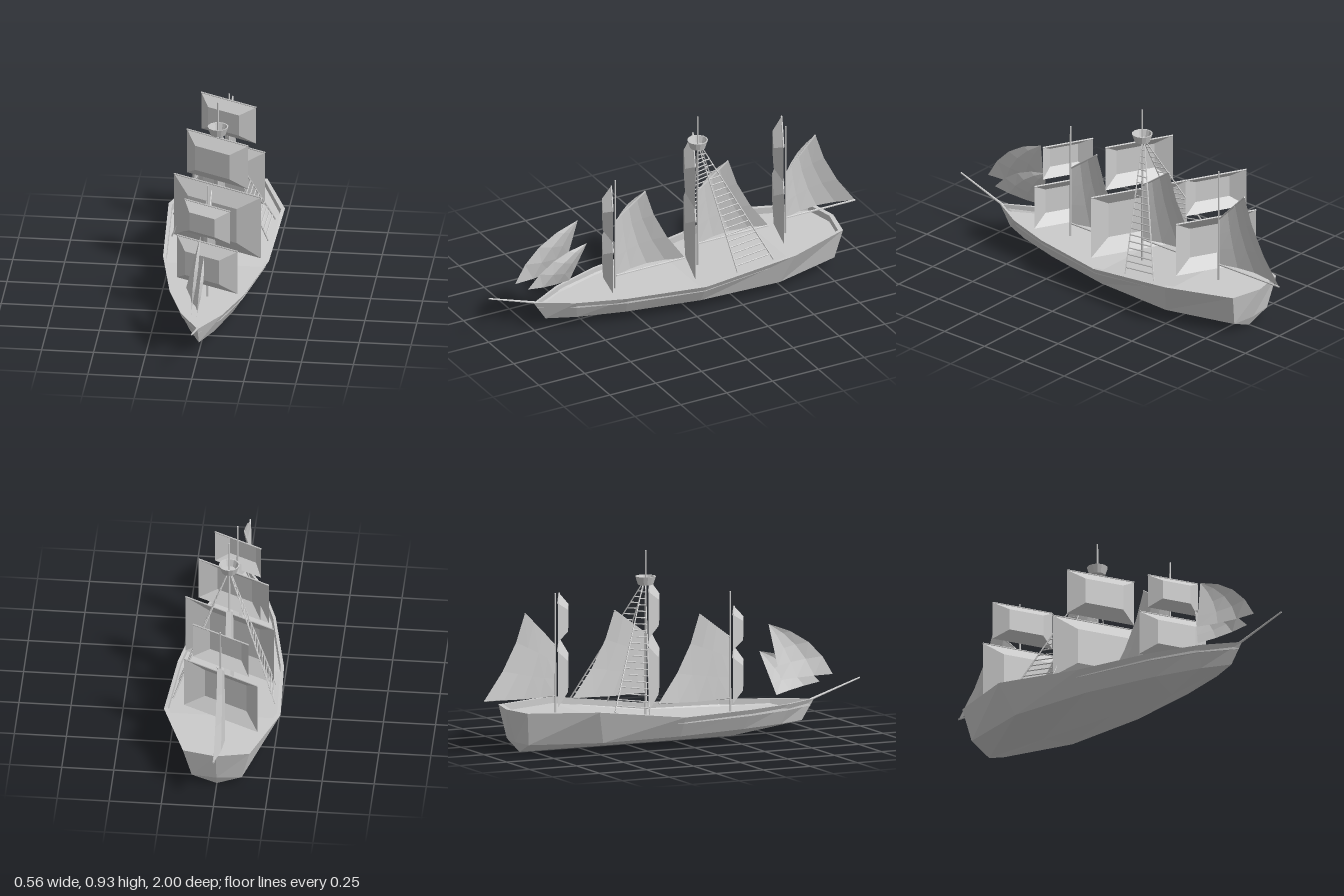
import * as THREE from 'three';

const V = (x, y, z) => new THREE.Vector3(x, y, z);
const mat = new THREE.MeshStandardMaterial({ color: 0xcccccc, flatShading: true, side: THREE.DoubleSide });

function add(parent, name, geometry) {
  const mesh = new THREE.Mesh(geometry, mat);
  mesh.name = name;
  parent.add(mesh);
  return mesh;
}

// Collects quads (corners counter-clockwise) into one faceted geometry
function quadsToGeometry(quads) {
  const pos = [];
  const tri = (a, b, c) => {
    const area = b.clone().sub(a).cross(c.clone().sub(a)).length();
    if (area > 1e-8) [a, b, c].forEach(p => pos.push(p.x, p.y, p.z));
  };
  quads.forEach(([a, b, c, d]) => { tri(a, b, c); tri(a, c, d); });
  const g = new THREE.BufferGeometry();
  g.setAttribute('position', new THREE.Float32BufferAttribute(pos, 3));
  g.computeVertexNormals();
  return g;
}

// Round bar between two points
function bar(parent, name, a, b, r0, r1 = r0, sides = 8) {
  const dir = b.clone().sub(a);
  const m = add(parent, name, new THREE.CylinderGeometry(r1, r0, dir.length(), sides));
  m.position.copy(a).add(b).multiplyScalar(0.5);
  m.quaternion.setFromUnitVectors(V(0, 1, 0), dir.normalize());
  return m;
}

// Faceted surface from a function of u, v in 0..1
function patch(fn, nu, nv) {
  const quads = [];
  for (let i = 0; i < nu; i++) for (let j = 0; j < nv; j++) {
    quads.push([fn(i / nu, j / nv), fn((i + 1) / nu, j / nv),
      fn((i + 1) / nu, (j + 1) / nv), fn(i / nu, (j + 1) / nv)]);
  }
  return quadsToGeometry(quads);
}

// Hull: cross-sections from bow to stern, mirrored across x = 0
function hullGeometry() {
  // rail x, y, z | chine x, z | keel y, z
  const stations = [
    [0, 0.15, 0.755, 0, 0.69, 0.05, 0.69],
    [0.1, 0.15, 0.58, 0.06, 0.55, 0.031, 0.55],
    [0.18, 0.15, 0.34, 0.125, 0.32, 0, 0.32],
    [0.255, 0.15, -0.05, 0.195, -0.05, 0, -0.05],
    [0.28, 0.21, -0.52, 0.215, -0.47, 0, -0.47],
    [0.16, 0.21, -0.845, 0.12, -0.82, 0, -0.81],
    [0, 0.21, -0.88, 0, -0.835, 0, -0.81],
  ];
  const sections = stations.map(([rx, ry, rz, cx, cz, ky, kz]) => {
    const ix = rx * 0.935, iz = rz * 0.975;
    return [V(0, ky, kz), V(cx, 0.05, cz), V(rx, ry, rz),
      V(ix, ry, iz), V(ix, ry - 0.032, iz), V(0, ry - 0.032, iz)];
  });
  const flip = p => V(-p.x, p.y, p.z);
  const quads = [];
  for (let i = 0; i < sections.length - 1; i++) {
    const s = sections[i], t = sections[i + 1];
    for (let j = 0; j < s.length - 1; j++) {
      const q = [s[j], t[j], t[j + 1], s[j + 1]];
      quads.push(q, q.map(flip).reverse());
    }
  }
  return quadsToGeometry(quads);
}

// Square sail: open shell bulging forward to a smaller flat panel
function squareSail(parent, name, z, halfX, y0, y1) {
  const turn = 0.47, w = halfX / Math.cos(turn), h = (y1 - y0) / 2, k = 0.56, depth = 0.046;
  const corners = [[-1, -1], [1, -1], [1, 1], [-1, 1]];
  const rim = corners.map(([x, y]) => V(x * w, y * h, 0));
  const panel = corners.map(([x, y]) => V(x * w * k, y * h * k, depth));
  const quads = [panel];
  for (let i = 0; i < 4; i++) {
    const n = (i + 1) % 4;
    quads.push([rim[i], rim[n], panel[n], panel[i]]);
  }
  const g = new THREE.Group();
  g.name = name;
  g.position.set(0, (y0 + y1) / 2, z);
  g.rotation.y = -turn;
  add(g, 'sailCloth', quadsToGeometry(quads));
  bar(g, 'yard', V(-w, h, 0), V(w, h, 0), 0.004, 0.004, 6);
  parent.add(g);
}

// Four-cornered sail behind a mast, bellied to one side, with gaff and boom
function gaffSail(parent, name, throat, peak, clew, tack) {
  const g = new THREE.Group();
  g.name = name;
  const P = ([z, y]) => V(0, y, z);
  const [a, b, c, d] = [throat, peak, clew, tack].map(P);
  add(g, 'sailCloth', patch((u, v) => {
    const p = d.clone().lerp(c, u).lerp(a.clone().lerp(b, u), v);
    p.x -= 0.04 * Math.sin(Math.PI * u) * (1 - 0.35 * v);
    p.z += 0.03 * u * Math.sin(Math.PI * v);
    return p;
  }, 4, 3));
  bar(g, 'gaff', a, b, 0.004, 0.004, 6);
  bar(g, 'boom', d, c, 0.005, 0.005, 6);
  parent.add(g);
}

// Three-cornered headsail with a curved leading edge
function jib(parent, name, head, luffMid, tack, clew) {
  const ctrl = luffMid.clone().multiplyScalar(2).sub(head.clone().add(tack).multiplyScalar(0.5));
  const luff = new THREE.QuadraticBezierCurve3(head, ctrl, tack);
  add(parent, name, patch((u, v) => {
    const p = luff.getPoint(v).lerp(head.clone().lerp(clew, v), u);
    p.x += 0.025 * Math.sin(Math.PI * u) * Math.sin(Math.PI * v * 0.8);
    return p;
  }, 3, 4));
}

export function createModel() {
  const ship = new THREE.Group();
  ship.name = 'sailingShip';
  add(ship, 'hull', hullGeometry());

  // Masts and bowsprit
  bar(ship, 'foreMast', V(0, 0.11, 0.31), V(0, 0.7, 0.31), 0.005, 0.004);
  bar(ship, 'mainMast', V(0, 0.12, -0.14), V(0, 0.93, -0.14), 0.006, 0.004);
  bar(ship, 'aftMast', V(0, 0.17, -0.62), V(0, 0.755, -0.62), 0.005, 0.004);
  bar(ship, 'bowsprit', V(0, 0.145, 0.73), V(0, 0.235, 0.998), 0.006, 0.004);

  // Lookout basket
  const cup = [[0, 0.765], [0.037, 0.765], [0.05, 0.805], [0.044, 0.805], [0.033, 0.772], [0, 0.772]];
  add(ship, 'lookoutBasket', new THREE.LatheGeometry(cup.map(p => new THREE.Vector2(...p)), 14))
    .position.z = -0.14;

  // Square sails
  squareSail(ship, 'foreLowerSail', 0.327, 0.155, 0.182, 0.405);
  squareSail(ship, 'foreUpperSail', 0.327, 0.116, 0.435, 0.605);
  squareSail(ship, 'mainLowerSail', -0.12, 0.222, 0.182, 0.502);
  squareSail(ship, 'mainUpperSail', -0.12, 0.156, 0.528, 0.755);
  squareSail(ship, 'aftLowerSail', -0.603, 0.185, 0.232, 0.505);
  squareSail(ship, 'aftUpperSail', -0.603, 0.14, 0.54, 0.73);

  // Gaff sails, corners as [z, y]
  gaffSail(ship, 'foreGaffSail', [0.305, 0.48], [0.145, 0.6], [-0.07, 0.184], [0.305, 0.184]);
  gaffSail(ship, 'mainGaffSail', [-0.145, 0.53], [-0.307, 0.65], [-0.525, 0.243], [-0.145, 0.243]);
  gaffSail(ship, 'aftGaffSail', [-0.62, 0.5], [-0.782, 0.668], [-0.998, 0.26], [-0.62, 0.26]);

  // Headsails
  jib(ship, 'outerJib', V(-0.012, 0.53, 0.507), V(-0.02, 0.43, 0.715), V(-0.02, 0.265, 0.845), V(-0.078, 0.265, 0.54));
  jib(ship, 'innerJib', V(0, 0.4, 0.464), V(0, 0.345, 0.645), V(0, 0.23, 0.786), V(-0.056, 0.19, 0.528));

  // Rope ladders from the rails up to the main mast
  for (const s of [1, -1]) {
    const ladder = new THREE.Group();
    ladder.name = s > 0 ? 'leftRopeLadder' : 'rightRopeLadder';
    const front = [V(s * 0.232, 0.172, -0.23), V(s * 0.008, 0.76, -0.145)];
    const back = [V(s * 0.245, 0.2, -0.42), V(s * 0.008, 0.76, -0.16)];
    bar(ladder, 'sideRope', ...front, 0.004, 0.003, 5);
    bar(ladder, 'sideRope', ...back, 0.004, 0.003, 5);
    const rungs = 20;
    for (let i = 1; i < rungs; i++) {
      const t = i / rungs;
      bar(ladder, 'rung', front[0].clone().lerp(front[1], t), back[0].clone().lerp(back[1], t), 0.003, 0.003, 5);
    }
    ship.add(ladder);
  }
  return ship;
}
